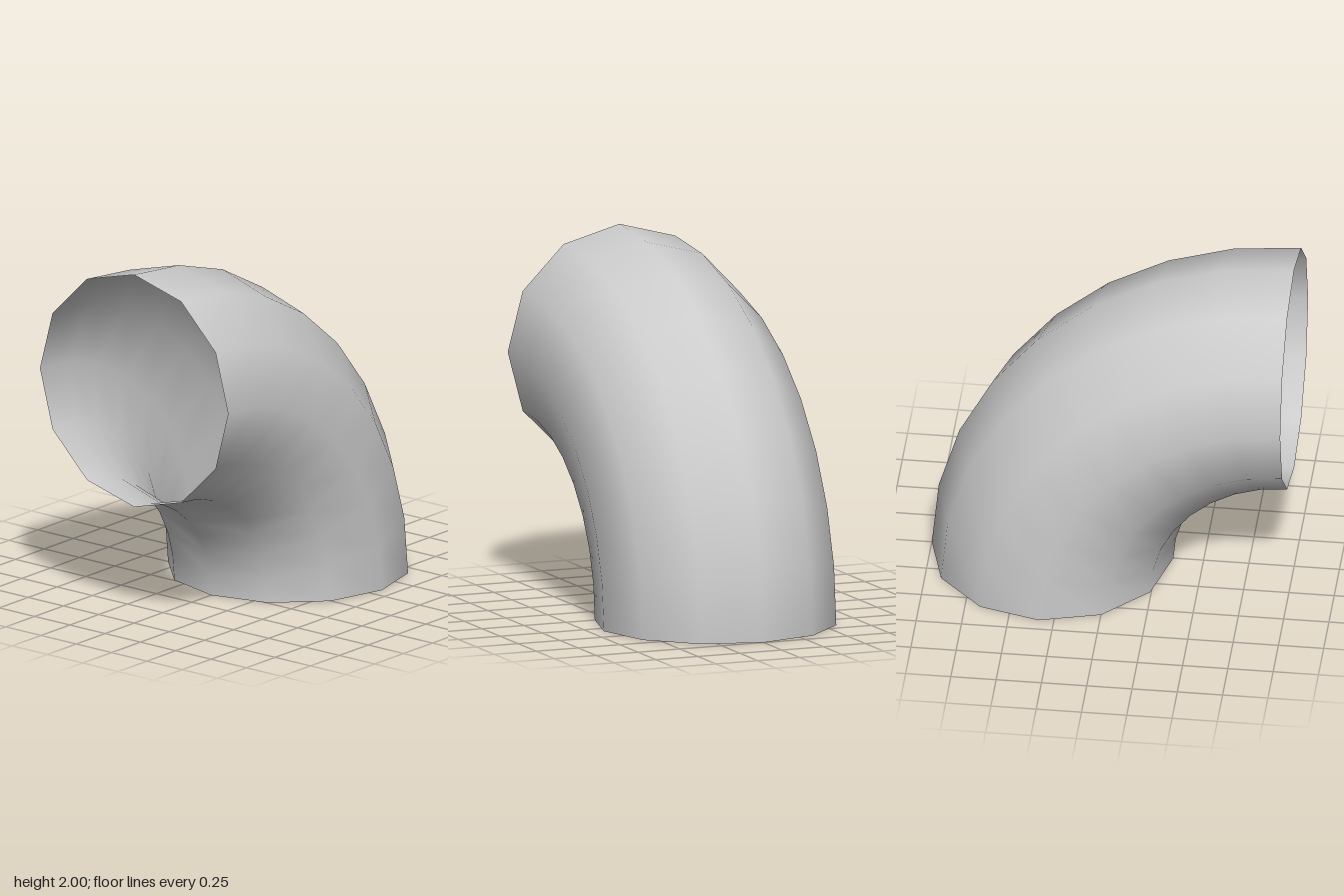
import * as THREE from 'three';

export function createModel() {
  const group = new THREE.Group();
  group.name = 'pipeElbow';

  // Open quarter-turn pipe: 12 sides around, 8 segments along the bend
  const bendRadius = 4 / 3, pipeRadius = 2 / 3;
  const geometry = new THREE.TorusGeometry(bendRadius, pipeRadius, 12, 8, Math.PI / 2);
  geometry.rotateY(Math.PI / 2); // bend runs from the floor at the back up to the front opening
  geometry.translate(0, 0, 1);

  const material = new THREE.MeshStandardMaterial({ color: 0xcccccc, side: THREE.DoubleSide });
  const pipe = new THREE.Mesh(geometry, material);
  pipe.name = 'bentPipe';
  group.add(pipe);
  return group;
}
